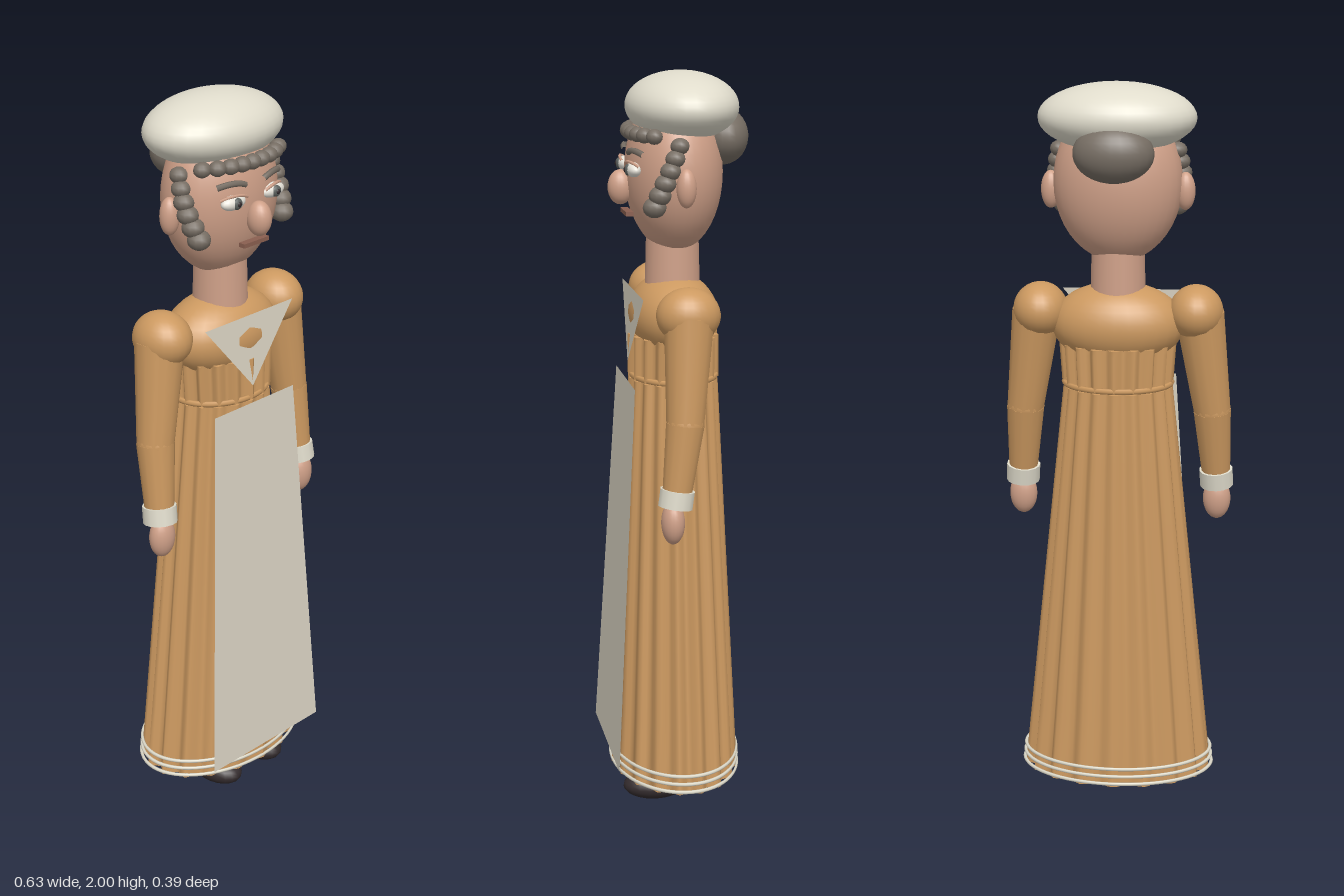
import * as THREE from 'three';

const mat = (name, color, side = THREE.FrontSide) => {
  const m = new THREE.MeshStandardMaterial({ color, side });
  m.name = name;
  return m;
};

export function createModel() {
  const model = new THREE.Group();
  model.name = 'womanInApron';
  const skin = mat('skin', 0xcfa088);
  const dress = mat('dressOchre', 0xcc9960);
  const linen = mat('linen', 0xe0dccc);
  const apronCloth = mat('apronCloth', 0xdbd4c4, THREE.DoubleSide);
  const hair = mat('hair', 0x776e64);
  const shoeBlack = mat('shoeBlack', 0x332b2d);
  const eyeWhite = mat('eyeWhite', 0xeeeae0);
  const iris = mat('iris', 0x5d625f);
  const lip = mat('lip', 0x8a5f50);

  const add = (name, geo, material, parent = model) => {
    const m = new THREE.Mesh(geo, material);
    m.name = name;
    parent.add(m);
    return m;
  };
  const ball = (name, material, p, r, parent = model, seg = 20) => {
    const m = add(name, new THREE.SphereGeometry(1, seg, Math.round(seg * 0.7)), material, parent);
    m.position.set(...p);
    m.scale.set(...r);
    return m;
  };
  // Tapered tube from point a (top) to point b (bottom)
  const limb = (name, material, a, b, ra, rb, parent) => {
    const A = new THREE.Vector3(...a), B = new THREE.Vector3(...b);
    const dir = A.clone().sub(B);
    const m = add(name, new THREE.CylinderGeometry(ra, rb, dir.length(), 14), material, parent);
    m.position.copy(A).add(B).multiplyScalar(0.5);
    m.quaternion.setFromUnitVectors(new THREE.Vector3(0, 1, 0), dir.normalize());
    return m;
  };
  // Elliptical pleated cloth between two heights; top and bottom are [y, rx, rz]
  const pleated = (name, top, bottom, depth, pleats = 18) => {
    const geo = new THREE.CylinderGeometry(1, 1, 1, pleats * 6, 6);
    const p = geo.attributes.position;
    for (let i = 0; i < p.count; i++) {
      const t = 0.5 - p.getY(i);
      const x = p.getX(i), z = p.getZ(i);
      const f = 1 - depth * (0.5 - 0.5 * Math.cos(pleats * Math.atan2(x, z)));
      const mix = (k) => THREE.MathUtils.lerp(top[k], bottom[k], t);
      p.setXYZ(i, x * mix(1) * f, mix(0), z * mix(2) * f + 0.004);
    }
    geo.computeVertexNormals();
    return add(name, geo, dress);
  };
  const ring = (name, material, y, rx, rz, r) => {
    const geo = new THREE.TorusGeometry(1, r / rx, 6, 64).rotateX(Math.PI / 2);
    const m = add(name, geo, material);
    m.scale.set(rx, rx, rz);
    m.position.set(0, y, 0.003);
  };
  // Flat cloth from corners in counter-clockwise order
  const sheet = (name, corners) => {
    const geo = new THREE.BufferGeometry();
    geo.setAttribute('position', new THREE.Float32BufferAttribute(corners.flat(), 3));
    geo.setIndex(corners.length === 3 ? [0, 1, 2] : [0, 1, 2, 0, 2, 3]);
    geo.computeVertexNormals();
    return add(name, geo, apronCloth);
  };

  // Dress
  ball('bodice', dress, [0, 1.36, 0.003], [0.178, 0.112, 0.118], model, 28);
  pleated('gatheredBodice', [1.31, 0.158, 0.122], [1.195, 0.15, 0.122], 0.14);
  ring('waistBand', dress, 1.2, 0.144, 0.115, 0.008);
  pleated('skirt', [1.19, 0.148, 0.12], [0.08, 0.264, 0.176], 0.1);
  for (const y of [0.09, 0.112, 0.134]) {
    ring('hemTrim', linen, y, 0.266 - (y - 0.09) * 0.1, 0.176 - (y - 0.09) * 0.05, 0.005);
  }

  // Apron and neckerchief
  sheet('apron', [[-0.21, 0.14, 0.192], [0.21, 0.14, 0.192], [0.148, 1.19, 0.133], [-0.148, 1.19, 0.133]]);
  sheet('neckerchief', [[0, 1.235, 0.127], [0.162, 1.43, 0.112], [-0.162, 1.43, 0.112]]);

  // Neck and head
  const neck = add('neck', new THREE.CylinderGeometry(0.07, 0.074, 0.15, 20), skin);
  neck.position.set(0, 1.5, 0.005);
  const head = new THREE.Group();
  head.name = 'head';
  model.add(head);
  ball('skull', skin, [0, 1.74, 0.002], [0.17, 0.212, 0.128], head, 32);
  ball('nose', skin, [0, 1.702, 0.143], [0.031, 0.046, 0.034], head);
  const mouth = add('mouth', new THREE.BoxGeometry(0.09, 0.011, 0.02), lip, head);
  mouth.position.set(0, 1.636, 0.126);

  // Cap and hair
  ball('cap', linen, [0, 1.91, -0.02], [0.207, 0.09, 0.147], head, 32);
  ball('bun', hair, [0, 1.83, -0.125], [0.105, 0.076, 0.07], head, 24);
  for (let i = -4; i <= 4; i++) {
    const x = i * 0.034;
    ball('fringeCurl', hair, [x, 1.845, 0.118 * Math.sqrt(1 - (x / 0.18) ** 2)], [0.024, 0.02, 0.022], head, 12);
  }

  for (const s of [-1, 1]) {
    // Face details
    ball('ear', skin, [s * 0.177, 1.717, 0.002], [0.026, 0.05, 0.026], head);
    ball('eye', eyeWhite, [s * 0.07, 1.755, 0.12], [0.04, 0.019, 0.02], head);
    ball('iris', iris, [s * 0.07, 1.755, 0.135], [0.015, 0.015, 0.009], head, 14);
    ball('pupil', shoeBlack, [s * 0.07, 1.755, 0.142], [0.007, 0.007, 0.004], head, 10);
    const lidPath = new THREE.QuadraticBezierCurve3(
      new THREE.Vector3(s * 0.032, 1.765, 0.133),
      new THREE.Vector3(s * 0.07, 1.786, 0.142),
      new THREE.Vector3(s * 0.108, 1.765, 0.112));
    add('eyelid', new THREE.TubeGeometry(lidPath, 10, 0.004, 6), skin, head);
    const browPath = new THREE.QuadraticBezierCurve3(
      new THREE.Vector3(s * 0.033, 1.795, 0.126),
      new THREE.Vector3(s * 0.07, 1.812, 0.128),
      new THREE.Vector3(s * 0.11, 1.796, 0.102));
    add('eyebrow', new THREE.TubeGeometry(browPath, 10, 0.008, 6), hair, head);

    // Side ringlets running down and forward
    for (let i = 0; i < 6; i++) {
      const t = i / 5;
      const r = 0.025 + 0.006 * t;
      ball('ringlet', hair, [s * (0.155 + 0.012 * Math.sin(t * Math.PI) - 0.004 * t), 1.822 - 0.155 * t, 0.015 + 0.065 * t],
        [r, r * 0.85, r], head, 12);
    }

    // Arm
    const arm = new THREE.Group();
    arm.name = s > 0 ? 'leftArm' : 'rightArm';
    model.add(arm);
    ball('puffSleeve', dress, [s * 0.208, 1.395, 0.003], [0.073, 0.073, 0.084], arm, 24);
    limb('upperSleeve', dress, [s * 0.218, 1.39, 0.003], [s * 0.254, 1.12, 0.02], 0.066, 0.05, arm);
    ball('elbow', dress, [s * 0.254, 1.12, 0.02], [0.05, 0.05, 0.05], arm);
    limb('lowerSleeve', dress, [s * 0.254, 1.12, 0.02], [s * 0.266, 0.935, 0.044], 0.051, 0.039, arm);
    limb('cuff', linen, [s * 0.265, 0.948, 0.042], [s * 0.268, 0.902, 0.049], 0.046, 0.046, arm);
    ball('hand', skin, [s * 0.268, 0.86, 0.055], [0.038, 0.058, 0.031], arm);

    // Shoe
    ball('shoe', shoeBlack, [s * 0.083, 0.04, 0.068], [0.057, 0.04, 0.092]);
  }
  return model;
}
